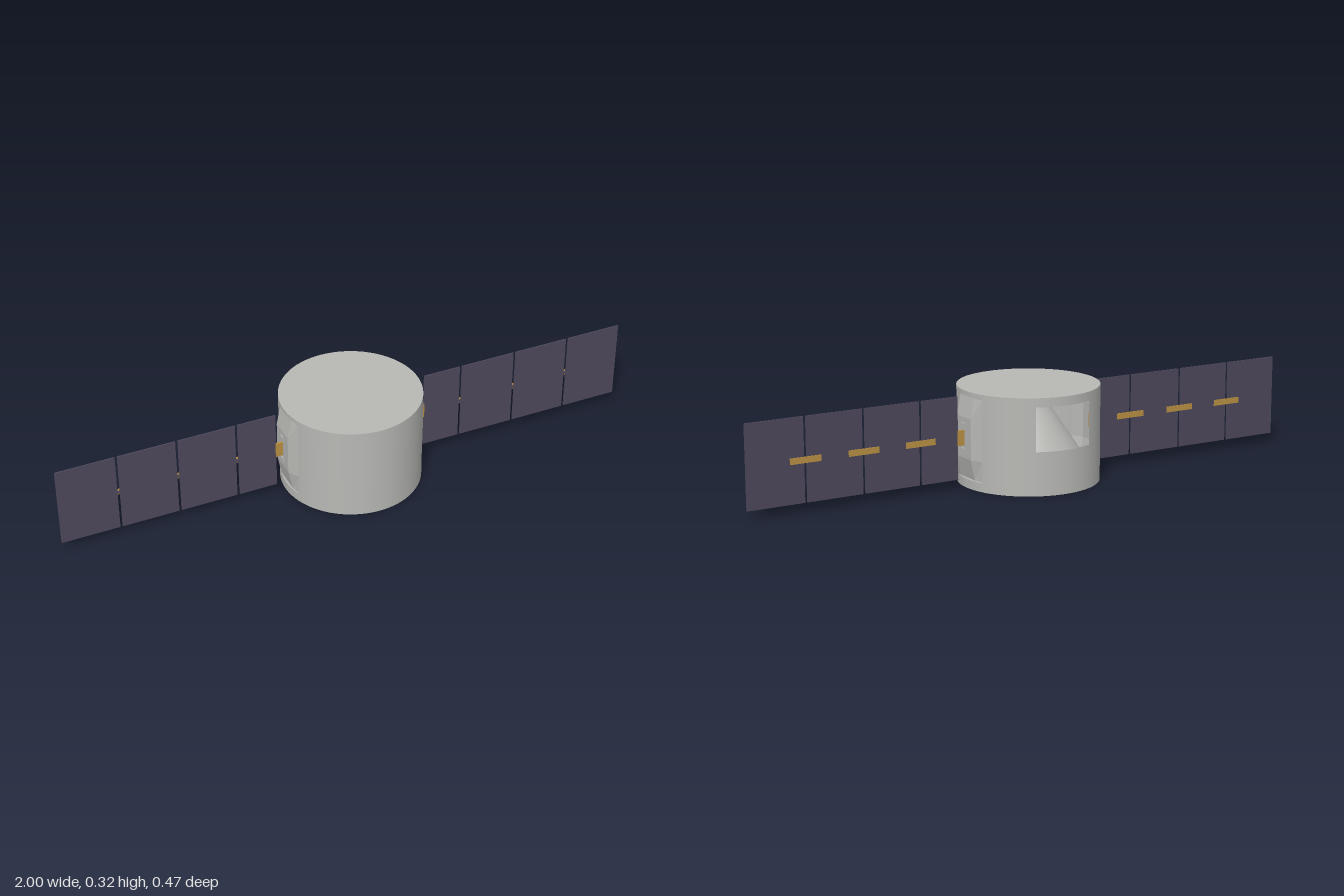
import * as THREE from 'three';

const R = 0.235, H = 0.32;
const hull = new THREE.MeshStandardMaterial({ name: 'hull grey', color: 0xb8b8b5, side: THREE.DoubleSide });
const cell = new THREE.MeshStandardMaterial({ name: 'solar cell purple', color: 0x4d485c });
const gold = new THREE.MeshStandardMaterial({ name: 'hinge gold', color: 0xb98f42 });

function add(parent, name, geometry, material, x = 0, y = 0, z = 0) {
  const mesh = new THREE.Mesh(geometry, material);
  mesh.name = name;
  mesh.position.set(x, y, z);
  parent.add(mesh);
  return mesh;
}

// Curved piece of the hull; angles in degrees from +z towards +x
function wall(parent, name, a0, a1, y0, y1) {
  const rad = Math.PI / 180;
  const steps = Math.max(4, Math.round((a1 - a0) / 5));
  add(parent, name, new THREE.CylinderGeometry(R, R, y1 - y0, steps, 1, true, a0 * rad, (a1 - a0) * rad),
    hull, 0, (y0 + y1) / 2);
}

// Faceted side cover: sections [y, outer x], each with a flat middle and two sloping flanks
function coverGeometry() {
  const sections = [[0.032, 0.228], [0.1, 0.242], [0.235, 0.242], [0.303, 0.228]];
  const pos = [], index = [];
  for (const [y, x] of sections) {
    for (const [px, pz] of [[0.22, 0.082], [x, 0.045], [x, -0.045], [0.22, -0.082]]) pos.push(px, y, pz);
  }
  for (let i = 0; i < 3; i++) for (let j = 0; j < 3; j++) {
    const a = i * 4 + j, b = a + 1, c = a + 4, d = a + 5;
    index.push(a, b, d, a, d, c);
  }
  const g = new THREE.BufferGeometry();
  g.setAttribute('position', new THREE.Float32BufferAttribute(pos, 3));
  g.setIndex(index);
  const flat = g.toNonIndexed();
  flat.computeVertexNormals();
  return flat;
}

function createBody() {
  const body = new THREE.Group();
  body.name = 'body';

  // Shell with a rear window and an opening for each side cover
  wall(body, 'frontWall', -70, 70, 0, H);
  for (const a of [90, 270]) {
    wall(body, 'sideWallBelowCover', a - 20, a + 20, 0, 0.03);
    wall(body, 'sideWallAboveCover', a - 20, a + 20, 0.305, H);
  }
  wall(body, 'rearWallLeft', 110, 155, 0, H);
  wall(body, 'rearWallRight', 205, 250, 0, H);
  wall(body, 'wallBelowWindow', 155, 205, 0, 0.145);
  wall(body, 'wallAboveWindow', 155, 205, 0.29, H);

  const top = add(body, 'topDisc', new THREE.CircleGeometry(R, 72), hull, 0, H, 0);
  top.rotation.x = -Math.PI / 2;

  // Inner cone, open at the bottom
  add(body, 'innerCone', new THREE.CylinderGeometry(0.025, R, H - 0.005, 72, 1, true), hull, 0, (H - 0.005) / 2);
  return body;
}

// Wing on the +x side; the other one is this turned half way round the x-mirrored layout
function createWing(side) {
  const wing = new THREE.Group();
  wing.name = side > 0 ? 'leftWing' : 'rightWing';

  const cover = add(wing, 'sideCover', coverGeometry(), hull);
  if (side < 0) cover.rotation.y = Math.PI;

  // Hinge and its small brackets
  add(wing, 'wingHinge', new THREE.BoxGeometry(0.03, 0.05, 0.008), gold, side * 0.252, 0.167, 0);
  for (const y of [0.125, 0.208]) {
    add(wing, 'hingeBracket', new THREE.BoxGeometry(0.006, 0.016, 0.02), hull, side * 0.243, y, 0);
  }

  // Four solar panels
  for (const [x0, x1] of [[0.265, 0.396], [0.404, 0.597], [0.605, 0.797], [0.805, 1]]) {
    add(wing, 'solarPanel', new THREE.BoxGeometry(x1 - x0, 0.275, 0.004), cell, side * (x0 + x1) / 2, 0.1675, 0);
  }

  // Joint strips across the gaps, on the back
  for (const x of [0.4, 0.601, 0.801]) {
    add(wing, 'jointStrip', new THREE.BoxGeometry(0.105, 0.02, 0.003), gold, side * x, 0.167, -0.0035);
    add(wing, 'jointPin', new THREE.BoxGeometry(0.012, 0.008, 0.005), cell, side * x, 0.167, 0);
  }
  return wing;
}

export function createModel() {
  const model = new THREE.Group();
  model.name = 'satellite';
  model.add(createBody(), createWing(1), createWing(-1));
  return model;
}
